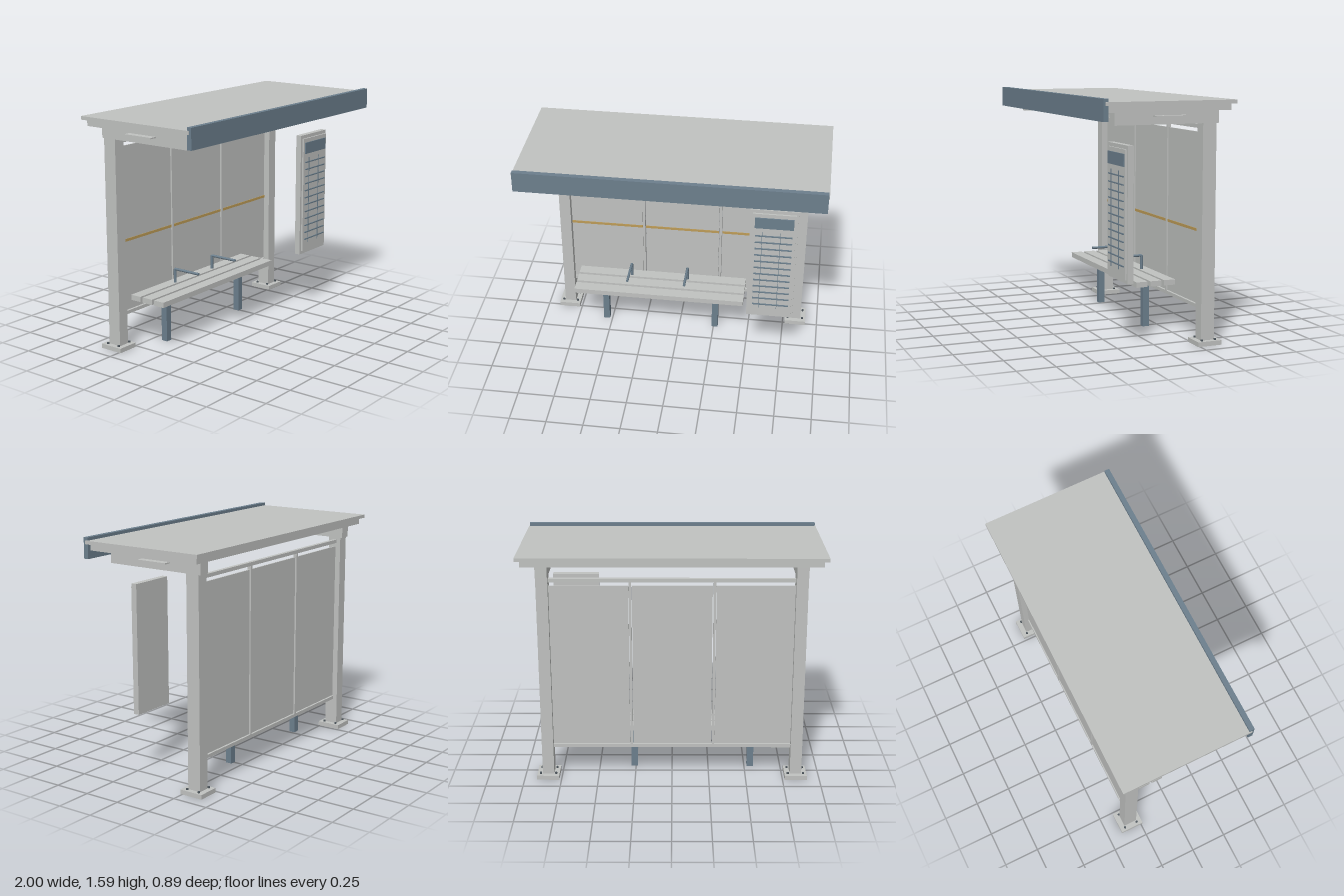
import * as THREE from 'three';

export function createModel() {
  const model = new THREE.Group();
  model.name = 'busShelter';
  const mat = (name, color) => {
    const m = new THREE.MeshStandardMaterial({ color });
    m.name = name;
    return m;
  };
  const grey = mat('light grey metal', 0xc0c2c0);
  const blue = mat('slate blue paint', 0x6c7f8d);
  const tan = mat('tan stripe', 0xbd9c58);
  const dark = mat('dark bolt steel', 0x4c555c);

  const add = (name, geometry, material, x, y, z) => {
    const mesh = new THREE.Mesh(geometry, material);
    mesh.name = name;
    mesh.position.set(x, y, z);
    model.add(mesh);
    return mesh;
  };
  // Box given by its limits on each axis
  const box = (name, material, [x0, x1], [y0, y1], [z0, z1]) =>
    add(name, new THREE.BoxGeometry(x1 - x0, y1 - y0, z1 - z0), material,
      (x0 + x1) / 2, (y0 + y1) / 2, (z0 + z1) / 2);

  // Roof: slab, stepped underside and front fascia
  box('roofSlab', grey, [-1, 1], [1.542, 1.565], [-0.445, 0.43]);
  box('roofUnderside', grey, [-0.97, 0.97], [1.5, 1.542], [-0.42, 0.412]);
  box('fascia', blue, [-0.995, 0.995], [1.448, 1.585], [0.412, 0.445]);

  // Posts with cantilever beams, side fins and bolted feet
  for (const s of [-1, 1]) {
    const cx = s * 0.84;
    box('post', grey, [cx - 0.039, cx + 0.039], [0.03, 1.416], [-0.365, -0.272]);
    box('roofBeam', grey, [cx - 0.039, cx + 0.039], [1.416, 1.5], [-0.38, 0.325]);
    const fx = s * 0.902;
    box('beamFin', grey, [fx - 0.025, fx + 0.025], [1.464, 1.472], [-0.147, 0.07]);
    box('footPlate', grey, [cx - 0.075, cx + 0.075], [0, 0.03], [-0.402, -0.237]);
    for (const dx of [-0.052, 0.052]) {
      for (const z of [-0.273, -0.366]) {
        add('footBolt', new THREE.CylinderGeometry(0.008, 0.008, 0.01, 8), dark, cx + dx, 0.035, z);
      }
    }
  }

  // Back wall: rails, mullions, panels and stripe
  box('topRail', grey, [-0.802, 0.802], [1.376, 1.4], [-0.335, -0.308]);
  box('bottomRail', grey, [-0.802, 0.802], [0.213, 0.236], [-0.335, -0.308]);
  for (const x of [-0.278, 0.272]) {
    box('mullion', grey, [x - 0.008, x + 0.008], [0.236, 1.376], [-0.335, -0.308]);
  }
  for (const [a, b] of [[-0.804, -0.289], [-0.264, 0.26], [0.283, 0.804]]) {
    box('wallPanel', grey, [a, b], [0.24, 1.351], [-0.327, -0.317]);
    box('wallStripe', tan, [a, b], [0.711, 0.729], [-0.317, -0.313]);
  }

  // Bench: three slats, two legs, two armrests
  for (const z of [-0.045, -0.145, -0.245]) {
    box('benchSlat', grey, [-0.745, 0.467], [0.314, 0.35], [z - 0.04, z + 0.04]);
  }
  for (const x of [-0.541, 0.259]) {
    box('benchLeg', blue, [x - 0.022, x + 0.022], [0, 0.314], [-0.18, -0.135]);
  }
  for (const x of [-0.36, 0.046]) {
    add('armrestPost', new THREE.CylinderGeometry(0.01, 0.01, 0.095, 12), blue, x, 0.3975, -0.227);
    add('armrestBar', new THREE.CylinderGeometry(0.009, 0.009, 0.205, 12), blue, x, 0.445, -0.123)
      .rotation.x = Math.PI / 2;
  }

  // Timetable cabinet: case, face, heading and ruled lines
  box('timetableCase', grey, [0.505, 0.82], [0.422, 1.287], [0.172, 0.212]);
  box('timetableFace', grey, [0.523, 0.807], [0.447, 1.263], [0.212, 0.224]);
  box('timetableHeading', blue, [0.538, 0.793], [1.155, 1.235], [0.224, 0.231]);
  for (let i = 0; i < 12; i++) {
    const y = 1.093 - i * 0.0512;
    box('timetableRow', blue, [0.543, 0.788], [y - 0.004, y + 0.004], [0.224, 0.231]);
  }
  for (const x of [0.588, 0.708]) {
    box('timetableColumn', blue, [x - 0.0015, x + 0.0015], [0.5, 1.125], [0.224, 0.229]);
  }
  return model;
}
